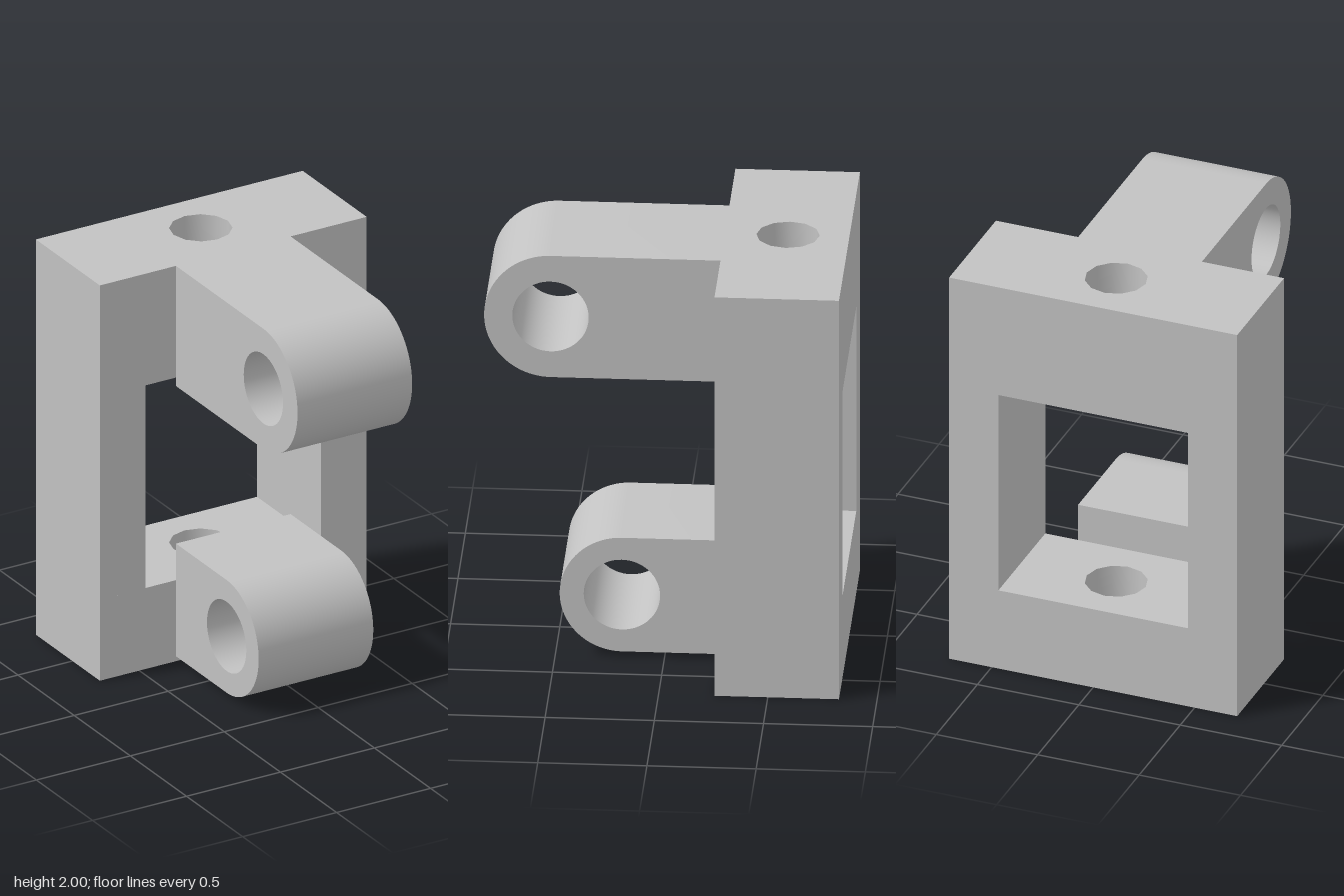
import * as THREE from 'three';
import { toCreasedNormals } from 'three/addons/utils/BufferGeometryUtils.js';

const HALF_W = 0.71, HEIGHT = 2;
const Z_BACK = -0.826, Z_FRONT = -0.256;
const WIN_X = 0.467, WIN_BOTTOM = 0.41, WIN_TOP = 1.435;

function circleHole(x, y, r) {
  const hole = new THREE.Path();
  hole.absarc(x, y, r, 0, Math.PI * 2, true);
  return hole;
}

function extrude(shape, depth, curveSegments) {
  return new THREE.ExtrudeGeometry(shape, { depth, curveSegments, bevelEnabled: false });
}

// Horizontal bar of the frame, pierced by a vertical twelve-sided hole
function barGeometry(y0, y1) {
  const s = new THREE.Shape();
  s.moveTo(-HALF_W, -Z_FRONT);
  s.lineTo(HALF_W, -Z_FRONT);
  s.lineTo(HALF_W, -Z_BACK);
  s.lineTo(-HALF_W, -Z_BACK);
  s.closePath();
  s.holes.push(circleHole(0, 0.545, 0.145));
  const g = extrude(s, y1 - y0, 6);
  g.rotateX(-Math.PI / 2);
  g.translate(0, y0, 0);
  return toCreasedNormals(g, 0.6);
}

// Round-ended lug reaching forward, with a cross hole; profile drawn in (z, y)
function lugGeometry(cz, cy, r, holeR, halfWidth) {
  const s = new THREE.Shape();
  s.moveTo(Z_FRONT, cy - r);
  s.lineTo(cz, cy - r);
  s.absarc(cz, cy, r, -Math.PI / 2, Math.PI / 2, false);
  s.lineTo(Z_FRONT, cy + r);
  s.closePath();
  s.holes.push(circleHole(cz, cy, holeR));
  const g = extrude(s, halfWidth * 2, 32);
  g.rotateY(-Math.PI / 2);
  g.translate(halfWidth, 0, 0);
  return toCreasedNormals(g, 0.6);
}

export function createModel() {
  const model = new THREE.Group();
  model.name = 'hingeBracket';
  const grey = new THREE.MeshStandardMaterial({ color: 0xc2c2c2 });
  grey.name = 'grey';

  const add = (name, geometry, parent) => {
    const mesh = new THREE.Mesh(geometry, grey);
    mesh.name = name;
    parent.add(mesh);
    return mesh;
  };

  // Rectangular frame around the window
  const frame = new THREE.Group();
  frame.name = 'frame';
  model.add(frame);
  add('bottomBar', barGeometry(0, WIN_BOTTOM), frame);
  add('topBar', barGeometry(WIN_TOP, HEIGHT), frame);
  for (const [name, side] of [['leftPost', 1], ['rightPost', -1]]) {
    const post = new THREE.BoxGeometry(HALF_W - WIN_X, WIN_TOP - WIN_BOTTOM, Z_FRONT - Z_BACK);
    add(name, post, frame).position.set(
      side * (HALF_W + WIN_X) / 2, (WIN_TOP + WIN_BOTTOM) / 2, (Z_FRONT + Z_BACK) / 2);
  }

  // Long upper lug and short lower lug
  add('upperLug', lugGeometry(0.522, 1.696, 0.304, 0.175, 0.305), model);
  add('lowerLug', lugGeometry(0.195, 0.31, 0.285, 0.175, 0.305), model);

  return model;
}
